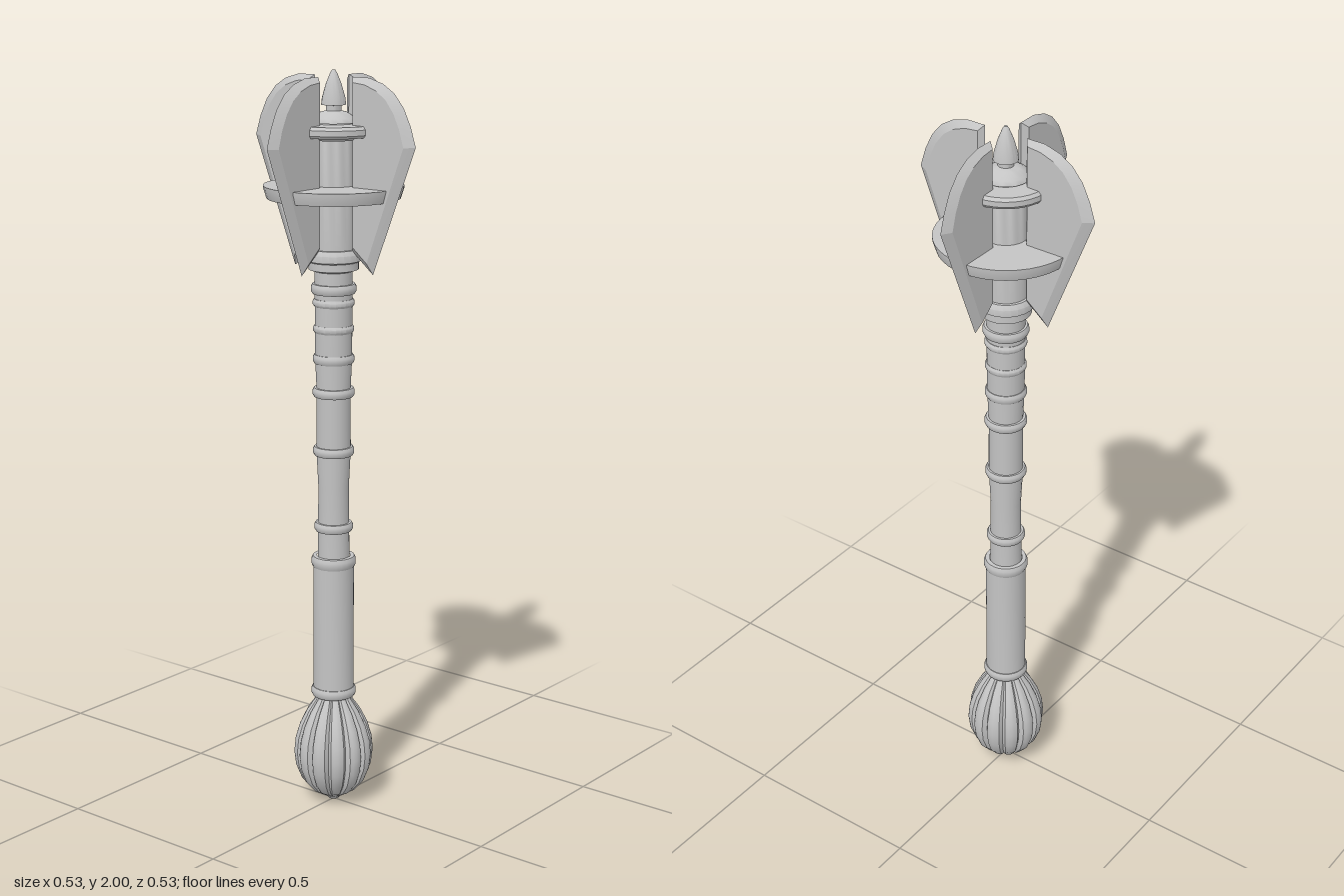
import * as THREE from 'three';
import { toCreasedNormals } from 'three/addons/utils/BufferGeometryUtils.js';
import { ConvexGeometry } from 'three/addons/geometries/ConvexGeometry.js';

const steel = new THREE.MeshStandardMaterial({ color: 0xc4c4c4 });
steel.name = 'steel';

function add(parent, name, geometry) {
  const mesh = new THREE.Mesh(geometry, steel);
  mesh.name = name;
  parent.add(mesh);
  return mesh;
}

// Turned part from [radius, height] pairs, listed bottom to top
function turned(points, sides = 24) {
  const profile = points.map(([r, y]) => new THREE.Vector2(r, y));
  return toCreasedNormals(new THREE.LatheGeometry(profile, sides), 0.6);
}

// Rounded band around the shaft
function band(r, y, h) {
  const a = h / 2;
  return turned([[r - 0.015, y - a], [r - 0.004, y - a], [r, y - a * 0.4],
    [r, y + a * 0.4], [r - 0.004, y + a], [r - 0.015, y + a]]);
}

// Ball of lobes parted by sharp grooves running from pole to pole
function flutedBall() {
  const lobes = 12;
  const profile = [[0.001, 0.012], [0.03, 0.016], [0.062, 0.035], [0.088, 0.065],
    [0.104, 0.105], [0.109, 0.145], [0.105, 0.185], [0.093, 0.225],
    [0.073, 0.265], [0.052, 0.295], [0.042, 0.312]]
    .map(([r, y]) => new THREE.Vector2(r, y));
  const g = new THREE.LatheGeometry(profile, lobes * 6);
  const p = g.attributes.position;
  for (let i = 0; i < p.count; i++) {
    const angle = Math.atan2(p.getX(i), p.getZ(i));
    const k = 0.84 + 0.16 * Math.sqrt(Math.abs(Math.sin(angle * lobes / 2)));
    p.setX(i, p.getX(i) * k);
    p.setZ(i, p.getZ(i) * k);
  }
  return toCreasedNormals(g, 0.5);
}

// Flange blade: sharp outline in the middle plane, flat cheeks set inwards
function bladeGeometry() {
  const edge = [[0.062, 1.985], [0.115, 1.985], [0.16, 1.972], [0.195, 1.95],
    [0.225, 1.915], [0.247, 1.87], [0.263, 1.82], [0.13, 1.485], [0.062, 1.54]];
  const cheek = [[0.074, 1.972], [0.112, 1.968], [0.148, 1.955], [0.178, 1.934],
    [0.203, 1.902], [0.222, 1.862], [0.235, 1.818], [0.12, 1.515], [0.074, 1.553]];
  const points = edge.map(([x, y]) => new THREE.Vector3(x, y, 0));
  for (const z of [-0.015, 0.015])
    for (const [x, y] of cheek) points.push(new THREE.Vector3(x, y, z));
  return toCreasedNormals(new ConvexGeometry(points), 0.3);
}

export function createModel() {
  const model = new THREE.Group();
  model.name = 'mace';

  // Pommel
  add(model, 'pommelBall', flutedBall());
  add(model, 'pommelTip', turned([[0, 0], [0.014, 0.003], [0.022, 0.012], [0.022, 0.025]], 16));

  // Grip and shaft
  add(model, 'grip', turned([[0.04, 0.305], [0.055, 0.32], [0.055, 0.69], [0.04, 0.7]]));
  add(model, 'shaft', turned([[0.043, 0.69], [0.041, 0.9], [0.046, 1.0], [0.045, 1.16],
    [0.049, 1.25], [0.05, 1.5]]));

  // Bands along the shaft: radius, height, thickness
  const bands = [[0.061, 0.322, 0.026], [0.06, 0.693, 0.03], [0.052, 0.79, 0.024],
    [0.055, 1.0, 0.024], [0.056, 1.16, 0.024], [0.055, 1.25, 0.024],
    [0.054, 1.33, 0.02], [0.055, 1.4, 0.02], [0.06, 1.437, 0.026]];
  const rings = new THREE.Group();
  rings.name = 'shaftBands';
  for (const [r, y, h] of bands) add(rings, 'band', band(r, y, h));
  model.add(rings);

  // Head: collar, core, two discs and the finial
  add(model, 'collar', turned([[0.048, 1.482], [0.066, 1.488], [0.066, 1.508], [0.074, 1.512],
    [0.074, 1.53], [0.066, 1.542], [0.055, 1.542]]));
  add(model, 'headCore', turned([[0.058, 1.53], [0.058, 1.868], [0.062, 1.868],
    [0.056, 1.88], [0.035, 1.893], [0.02, 1.897], [0.02, 1.915]]));
  add(model, 'largeDisc', turned([[0.05, 1.674], [0.174, 1.674], [0.183, 1.703], [0.183, 1.707],
    [0.05, 1.707]], 40));
  add(model, 'smallDisc', turned([[0.05, 1.826], [0.075, 1.826], [0.085, 1.835], [0.112, 1.835],
    [0.117, 1.842], [0.117, 1.856], [0.11, 1.864], [0.05, 1.866]], 32));
  add(model, 'finial', turned([[0.015, 1.91], [0.032, 1.912], [0.03, 1.93], [0.02, 1.965],
    [0.009, 1.992], [0.004, 2], [0, 2]], 20));

  // Four blades around the head
  const blades = new THREE.Group();
  blades.name = 'blades';
  const geometry = bladeGeometry();
  for (let i = 0; i < 4; i++) add(blades, 'blade', geometry).rotation.y = i * Math.PI / 2;
  model.add(blades);

  return model;
}
